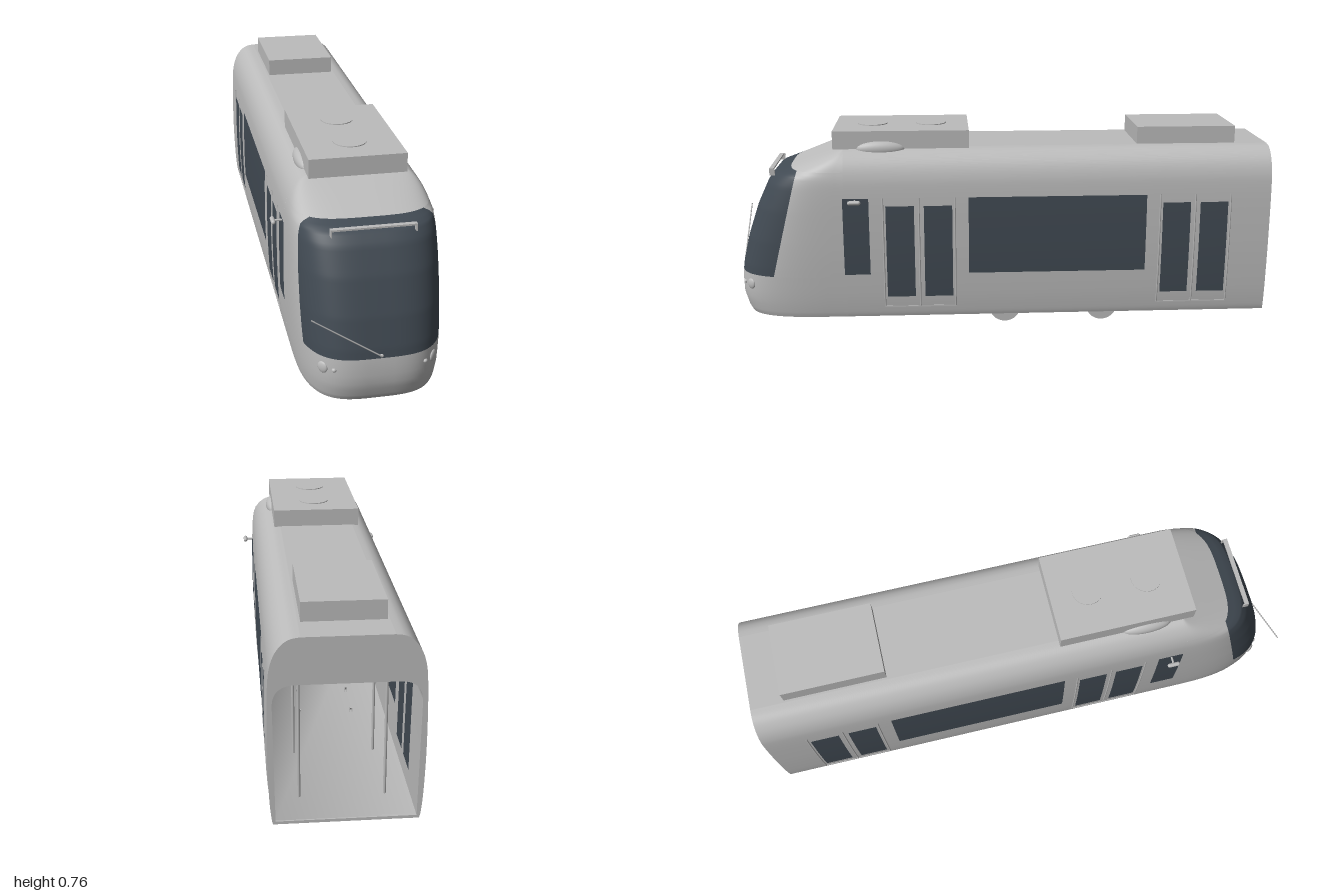
import * as THREE from 'three';

const material = (name, color) => {
  const m = new THREE.MeshStandardMaterial({ color, side: THREE.DoubleSide });
  m.name = name;
  return m;
};

// Piecewise-linear lookup in a table of [key, value]
const lookup = (table, k) => {
  for (let i = 1; i < table.length; i++) {
    const [a, va] = table[i - 1], [b, vb] = table[i];
    if (k <= b) return va + (vb - va) * Math.max(0, (k - a) / (b - a));
  }
  return table[table.length - 1][1];
};
const span = (a, b, n, ease = t => t) =>
  Array.from({ length: n + 1 }, (_, i) => a + (b - a) * ease(i / n));

// Body half width against height, smoothed by a spline
const WIDTH = new THREE.SplineCurve([
  [0.06, 0.23], [0.085, 0.235], [0.16, 0.241], [0.3, 0.245], [0.45, 0.244], [0.55, 0.24],
  [0.6, 0.233], [0.64, 0.218], [0.67, 0.195], [0.685, 0.17], [0.69, 0.14],
].map(p => new THREE.Vector2(...p))).getPoints(80).map(p => [p.x, p.y]);
// Foremost z on the centre line against height
const FRONT = [[0.06, 0.965], [0.08, 0.975], [0.13, 0.989], [0.2, 0.99], [0.25, 0.982], [0.35, 0.957],
  [0.47, 0.915], [0.56, 0.872], [0.595, 0.842], [0.615, 0.785], [0.65, 0.69], [0.69, 0.58]];
const NOSE = 0.58, POWER = 3.5, GLASS_LOW = 0.22, GLASS_HIGH = 0.615;

// Point on the nose: superellipse plan at each height
function nosePoint(y, angle) {
  const s = Math.sin(angle), c = Math.max(0, Math.cos(angle)), w = lookup(WIDTH, y);
  return new THREE.Vector3(
    w * Math.sign(s) * Math.abs(s) ** (2 / POWER), y,
    NOSE + (lookup(FRONT, y) - NOSE) * c ** (2 / POWER));
}
const noseZ = (x, y) => NOSE + (lookup(FRONT, y) - NOSE) *
  (1 - Math.abs(x / lookup(WIDTH, y)) ** POWER) ** (1 / POWER);
// Angle at which the windscreen ends
function glassAngle(y) {
  const edge = 0.85 - 0.1 * (y - GLASS_LOW) / (GLASS_HIGH - GLASS_LOW);
  return Math.acos(((edge - NOSE) / (lookup(FRONT, y) - NOSE)) ** (POWER / 2));
}

// Surface through rows of points
function surface(rows) {
  const n = rows[0].length, index = [];
  for (let r = 0; r < rows.length - 1; r++)
    for (let i = 0; i < n - 1; i++) {
      const a = r * n + i, b = a + n;
      index.push(a, a + 1, b, a + 1, b + 1, b);
    }
  const g = new THREE.BufferGeometry().setFromPoints(rows.flat());
  g.setIndex(index);
  g.computeVertexNormals();
  return g;
}

export function createModel() {
  const model = new THREE.Group();
  const shell = material('light grey body', 0xbcbcbc);
  const glass = material('dark glass', 0x414a53);
  const add = (name, geometry, mat = shell, x = 0, y = 0, z = 0) => {
    const mesh = new THREE.Mesh(geometry, mat);
    mesh.name = name;
    mesh.position.set(x, y, z);
    model.add(mesh);
    return mesh;
  };
  const box = (name, x, y, z, w, h, d, mat) => add(name, new THREE.BoxGeometry(w, h, d), mat, x, y, z);
  const rod = (name, a, b, r, mat) => add(name,
    new THREE.TubeGeometry(new THREE.LineCurve3(new THREE.Vector3(...a), new THREE.Vector3(...b)), 1, r, 8), mat);

  // Main body tube
  const outline = [...WIDTH.map(([y, w]) => [w, y]), ...WIDTH.map(([y, w]) => [-w, y]).reverse()];
  add('bodyShell', surface([-1, NOSE].map(z => outline.map(([x, y]) => new THREE.Vector3(x, y, z)))));

  // Nose and windscreen
  const noseRows = (ys, from, to, n) =>
    surface(ys.map(y => span(from(y), to(y), n).map(a => nosePoint(y, a))));
  const side = () => -Math.PI / 2, otherSide = () => Math.PI / 2;
  add('noseLower', noseRows([0.06, 0.07, 0.08, 0.105, 0.13, 0.16, 0.19, GLASS_LOW], side, otherSide, 64));
  add('noseRoof', noseRows(span(GLASS_HIGH, 0.69, 24, t => 1 - (1 - t) ** 2), side, otherSide, 64));
  const glassYs = span(GLASS_LOW, GLASS_HIGH, 40);
  add('windscreen', noseRows(glassYs, y => -glassAngle(y), glassAngle, 48), glass);
  add('nosePillarRight', noseRows(glassYs, side, y => -glassAngle(y), 20));
  add('nosePillarLeft', noseRows(glassYs, glassAngle, otherSide, 20));

  // Underside and floor
  const plan = new THREE.Shape(span(-Math.PI / 2, Math.PI / 2, 48).map(a => {
    const p = nosePoint(0.06, a);
    return new THREE.Vector2(p.x, p.z);
  }));
  plan.lineTo(0.23, -1);
  plan.lineTo(-0.23, -1);
  add('underside', new THREE.ShapeGeometry(plan).rotateX(Math.PI / 2), shell, 0, 0.06);

  // Open rear end and the lining behind it
  const opening = new THREE.Path();
  opening.moveTo(-0.222, 0.07);
  opening.lineTo(0.222, 0.07);
  opening.lineTo(0.228, 0.47);
  opening.quadraticCurveTo(0.226, 0.535, 0.16, 0.537);
  opening.lineTo(-0.16, 0.537);
  opening.quadraticCurveTo(-0.226, 0.535, -0.228, 0.47);
  opening.closePath();
  const rear = new THREE.Shape(outline.map(p => new THREE.Vector2(...p)));
  rear.holes.push(opening);
  add('rearFrame', new THREE.ExtrudeGeometry(rear, { depth: 0.01, bevelEnabled: false }), shell, 0, 0, -1);
  const inner = opening.getPoints(10);
  inner.push(inner[0].clone());
  add('lining', surface([-0.995, 0.62].map(z => inner.map(p => new THREE.Vector3(p.x, p.y, z)))));
  add('cabPartition', new THREE.ShapeGeometry(new THREE.Shape(inner)), shell, 0, 0, 0.62);
  box('partitionWindow', 0, 0.36, 0.616, 0.3, 0.24, 0.005, glass);

  // Side panes, bent to the body side outside and flat on the lining inside
  const pane = (name, z0, z1, y0, y1) => {
    for (const s of [-1, 1]) {
      const rows = [z0, z1].map(z => span(y0, y1, 12).map(y =>
        new THREE.Vector3(s * (lookup(WIDTH, y) + 0.0015), y, z)));
      add(name, surface(rows), glass);
      const flat = [z0, z1].map(z => span(y0, Math.min(y1, 0.47), 1).map(y =>
        new THREE.Vector3(s * (0.2195 + (y - 0.07) * 0.015), y, z)));
      add(name + 'Inside', surface(flat), glass);
    }
  };
  pane('cabWindow', 0.49, 0.585, 0.23, 0.52);
  pane('saloonWindow', -0.535, 0.125, 0.23, 0.52);
  for (const c of [0.307, -0.718]) {
    pane('doorPane', c + 0.018, c + 0.122, 0.14, 0.49);
    pane('doorPane', c - 0.122, c - 0.018, 0.14, 0.49);
    for (const s of [-1, 1]) {
      // Door seams and sill
      for (const dz of [-0.132, 0, 0.132])
        add('doorSeam', new THREE.TubeGeometry(new THREE.CatmullRomCurve3(span(0.1, 0.52, 6).map(y =>
          new THREE.Vector3(s * lookup(WIDTH, y), y, c + dz))), 12, 0.003, 6));
      box('doorSill', s * 0.236, 0.1, c, 0.006, 0.005, 0.266);
    }
  }

  // Roof equipment
  box('frontRoofUnit', 0, 0.721, 0.37, 0.33, 0.066, 0.5);
  box('rearRoofUnit', 0, 0.721, -0.695, 0.266, 0.066, 0.37);
  for (const z of [0.26, 0.48])
    add('roofVent', new THREE.CylinderGeometry(0.057, 0.057, 0.004, 32), shell, 0, 0.755, z);

  for (const s of [-1, 1]) {
    // Roof fairings, mirrors and lamps
    add('roofFairing', new THREE.SphereGeometry(1, 24, 16).scale(0.025, 0.03, 0.09), shell, s * 0.16, 0.687, 0.445);
    rod('mirrorArm', [s * 0.238, 0.512, 0.54], [s * 0.275, 0.512, 0.54], 0.004);
    add('mirror', new THREE.CapsuleGeometry(0.008, 0.032, 6, 12).rotateX(Math.PI / 2), shell, s * 0.274, 0.512, 0.54);
    const lamp = (name, x, rx, ry) => {
      const m = add(name, new THREE.SphereGeometry(1, 20, 12).scale(rx, ry, 0.007), shell, s * x, 0.181, noseZ(x, 0.181));
      m.rotation.y = s * Math.atan((noseZ(x - 0.01, 0.181) - noseZ(x + 0.01, 0.181)) / 0.02);
    };
    lamp('headlamp', 0.18, 0.019, 0.02);
    lamp('markerLamp', 0.148, 0.008, 0.007);
    box('barBracket', s * 0.136, 0.599, 0.848, 0.004, 0.024, 0.02);
  }
  box('frontBar', 0, 0.61, 0.85, 0.276, 0.006, 0.016);

  // Windscreen wiper
  rod('wiper', [0, 0.23, 0.993], [-0.225, 0.386, 0.997], 0.0025);
  add('wiperPivot', new THREE.SphereGeometry(0.006, 12, 8), shell, 0, 0.23, 0.988);

  // Running gear: lower halves of the wheels, axles and brakes
  const halfDisc = (name, x, y, z, r0, r1, w) => add(name,
    new THREE.CylinderGeometry(r0, r1, w, 32, 1, false, 0, Math.PI).rotateZ(-Math.PI / 2).rotateX(0), shell, x, y, z);
  for (const z of [-0.015, -0.39]) {
    for (const s of [-1, 1]) {
      const lower = (name, x, r, w) => {
        const disc = new THREE.Shape();
        disc.absarc(0, 0, r, Math.PI, Math.PI * 2, false);
        add(name, new THREE.ExtrudeGeometry(disc, { depth: w, bevelEnabled: false, curveSegments: 24 })
          .translate(0, 0, -w / 2).rotateY(Math.PI / 2), shell, s * x, 0.0605, z);
      };
      lower('wheelTread', 0.16, 0.05, 0.022);
      lower('wheelFlange', 0.15, 0.06, 0.008);
      lower('axleBox', 0.178, 0.014, 0.02);
    }
    rod('axle', [-0.15, 0.055, z], [0.15, 0.055, z], 0.006);
  }
  for (const z of [-0.115, -0.29]) {
    add('motor', new THREE.CylinderGeometry(0.016, 0.016, 0.148, 20).rotateZ(Math.PI / 2), shell, -0.014, 0.053, z);
    for (const s of [-1, 1]) {
      const disc = add('brakeDisc', new THREE.CylinderGeometry(0.033, 0.033, 0.008, 24, 1, false, 0, Math.PI), shell,
        s * 0.097, 0.0605, z);
      disc.geometry.rotateY(Math.PI / 2).rotateZ(Math.PI / 2).scale(1, 1, 1);
      // Turn the half disc so that it hangs below the floor
      disc.geometry.computeBoundingBox();
      if (disc.geometry.boundingBox.max.y > 0.01) disc.geometry.rotateX(Math.PI);
    }
  }

  // Grab poles and rails inside
  for (const s of [-1, 1]) {
    for (const z of [-0.86, -0.57, 0.16, 0.45]) rod('grabPole', [s * 0.14, 0.07, z], [s * 0.14, 0.537, z], 0.005);
    rod('grabRail', [s * 0.14, 0.47, -0.86], [s * 0.14, 0.47, 0.45], 0.004);
  }
  return model;
}
